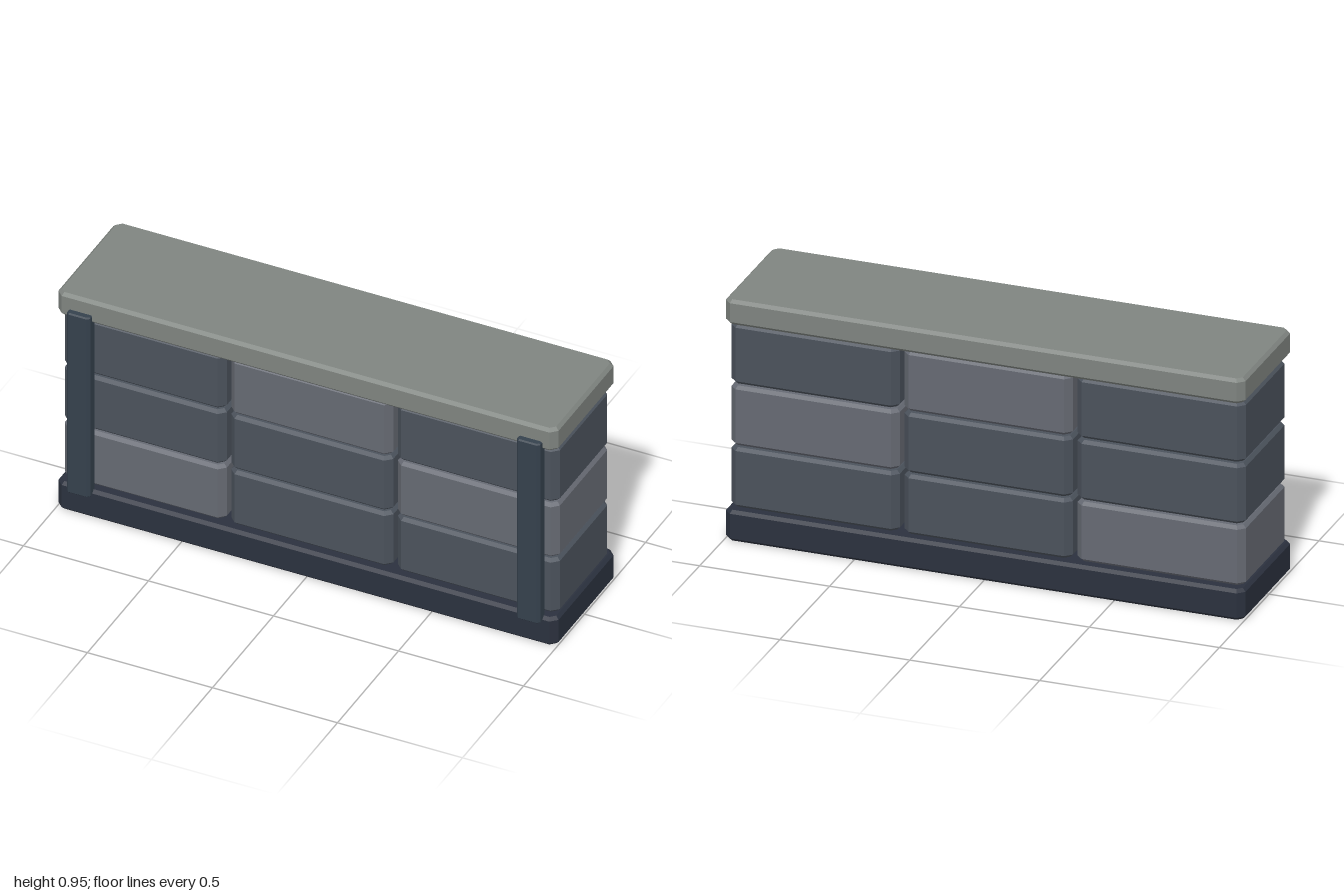
import * as THREE from 'three';

const paint = (color) => new THREE.MeshStandardMaterial({ color, flatShading: true });

// Box with cut vertical edges and bevelled top and bottom rims, standing on y = 0
function chamferedBox(width, height, depth, cut, bevel) {
  const x = width / 2, z = depth / 2;
  const outline = new THREE.Shape([
    [x, cut - z], [x, z - cut], [x - cut, z], [cut - x, z],
    [-x, z - cut], [-x, cut - z], [cut - x, -z], [x - cut, -z],
  ].map(([a, b]) => new THREE.Vector2(a, b)));
  const geometry = new THREE.ExtrudeGeometry(outline, {
    depth: height - 2 * bevel,
    bevelEnabled: true, bevelSegments: 1,
    bevelThickness: bevel, bevelSize: bevel, bevelOffset: -bevel,
  });
  return geometry.translate(0, 0, bevel).rotateX(-Math.PI / 2);
}

export function createModel() {
  const model = new THREE.Group();
  model.name = 'stoneWall';

  const add = (name, geometry, material, x, y, z, parent = model) => {
    const mesh = new THREE.Mesh(geometry, material);
    mesh.name = name;
    mesh.position.set(x, y, z);
    parent.add(mesh);
  };

  const darkStone = paint(0x4b525c);
  const lightStone = paint(0x666a73);
  const centreZ = -0.0125;

  // Plinth and coping slab
  add('base', chamferedBox(2, 0.121, 0.5, 0.025, 0.012), paint(0x2b313e), 0, 0, centreZ);
  add('cap', chamferedBox(2, 0.098, 0.5, 0.025, 0.012), paint(0x7f8480), 0, 0.853, centreZ);

  // Three courses of three blocks; the light ones run along a diagonal
  const blocks = new THREE.Group();
  blocks.name = 'blocks';
  model.add(blocks);
  const block = chamferedBox(0.648, 0.235, 0.438, 0.025, 0.012);
  const lightColumn = [0, 2, 1];
  for (let row = 0; row < 3; row++) {
    for (let col = 0; col < 3; col++) {
      add(`block${row + 1}${col + 1}`, block, col === lightColumn[row] ? lightStone : darkStone,
        (col - 1) * 0.666, 0.122 + row * 0.243, centreZ, blocks);
    }
  }

  // Upright straps on the front
  const post = chamferedBox(0.094, 0.788, 0.052, 0.01, 0.005);
  const postPaint = paint(0x35414d);
  for (const side of [-1, 1]) {
    add(side > 0 ? 'leftPost' : 'rightPost', post, postPaint, side * 0.9, 0.102, 0.2365);
  }

  return model;
}
